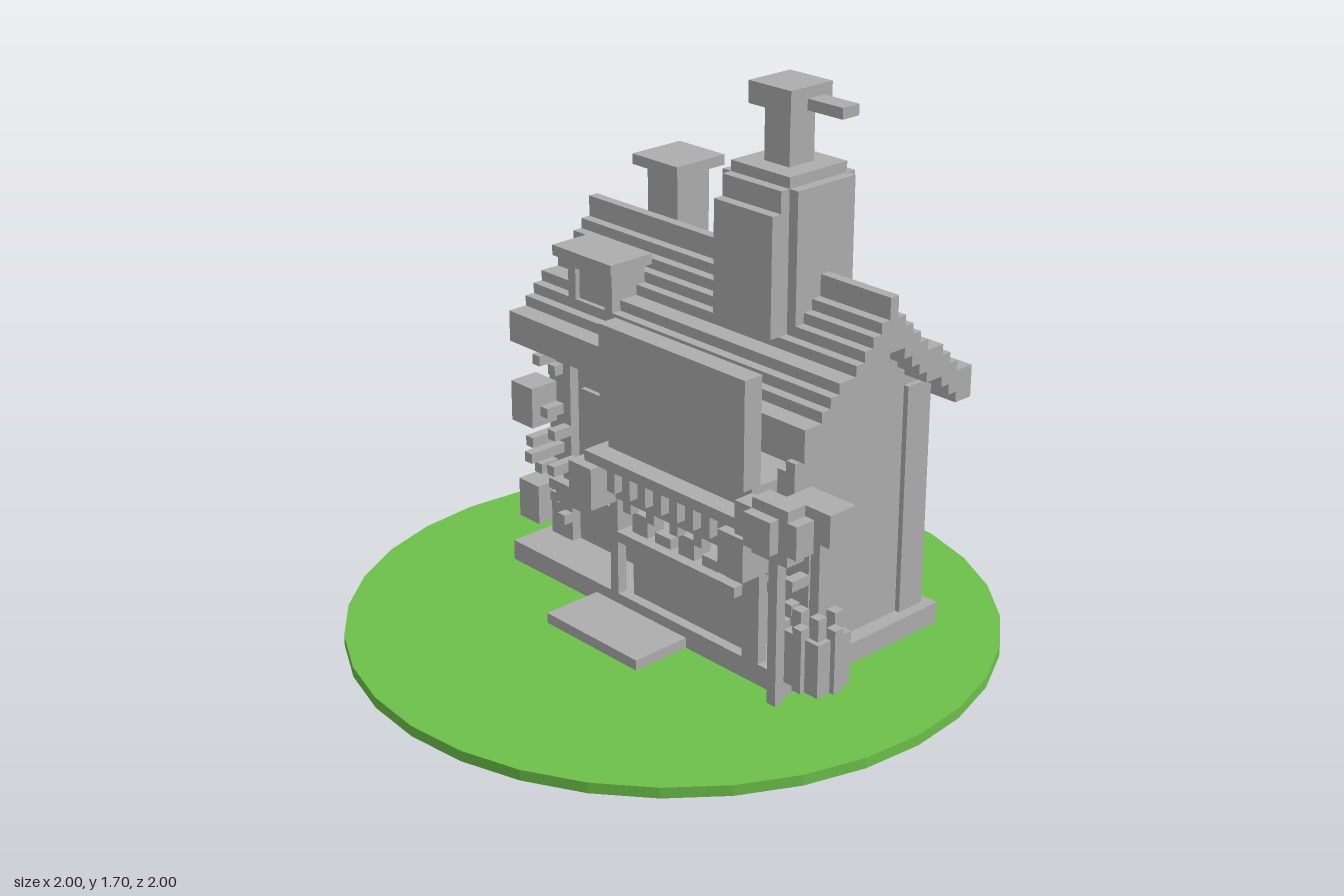
import * as THREE from 'three';

const U = 1 / 30; // one block

export function createModel() {
  const root = new THREE.Group();
  root.name = 'blockShop';
  const grey = new THREE.MeshStandardMaterial({ color: 0xadadad });
  grey.name = 'stone grey';
  const green = new THREE.MeshStandardMaterial({ color: 0x6cc04a });
  green.name = 'grass green';

  // box from block coordinates
  const box = (name, x0, x1, y0, y1, z0, z1, parent = root) => {
    const m = new THREE.Mesh(new THREE.BoxGeometry((x1 - x0) * U, (y1 - y0) * U, (z1 - z0) * U), grey);
    m.position.set((x0 + x1) / 2 * U, (y0 + y1) / 2 * U, (z0 + z1) / 2 * U);
    m.name = name;
    parent.add(m);
    return m;
  };
  const group = (name) => {
    const g = new THREE.Group();
    g.name = name;
    root.add(g);
    return g;
  };

  // lawn
  const lawn = new THREE.Mesh(new THREE.CylinderGeometry(1, 1, U, 32).toNonIndexed(), green);
  lawn.geometry.computeVertexNormals();
  lawn.position.y = U / 2;
  lawn.name = 'lawn';
  root.add(lawn);

  // base and walls
  box('foundation', -18, 18, 1, 3, -16, 4);
  box('doorStep', -6, 6, 1, 2, 4, 10);
  box('walls', -16.5, 16.5, 3, 25, -14.5, -1);
  for (const s of [-1, 1]) {
    const [a, b] = s < 0 ? [-17, -14] : [14, 17];
    box('frontCornerPost', a, b, 3, 25, -2, 0);
    box('backCornerPost', a, b, 3, 25, -15, -12);
  }

  // stepped gable roof: [distance from ridge where the step starts, ends, top]
  const steps = [[0.5, 1.5, 33], [1.5, 2.5, 32], [2.5, 3.5, 31], [3.5, 4.5, 30],
    [4.5, 6.5, 29], [6.5, 7.5, 28], [7.5, 8.5, 27], [8.5, 10.5, 26]];
  const roof = group('roof');
  const gables = group('gables');
  box('ridge', -19, 19, 30, 35, -8, -7, roof);
  box('gablePeak', -16.5, 16.5, 25, 30, -8, -7, gables);
  for (const [d0, d1, top] of steps) {
    for (const s of [-1, 1]) {
      const z0 = -7.5 + Math.min(s * d0, s * d1), z1 = -7.5 + Math.max(s * d0, s * d1);
      box('roofStep', -19, 19, top - 3, top, z0, z1, roof);
      if (d1 < 7 && top - 3 > 25) box('gableStep', -16.5, 16.5, 25, top - 3, z0, z1, gables);
    }
  }

  // back and side windows
  box('backWindow', 1.8, 10.6, 10.5, 20, -15, -14.4);
  box('backWindow', -8.6, 0.2, 10.5, 20, -15, -14.4);
  box('sideWindow', -17, -16.4, 11.5, 21.5, -11, -3.6);

  // back chimney
  box('chimney', -13, -9, 28, 39, -13, -9);
  box('chimneyCap', -14, -8, 39, 40, -14, -8);

  // dormer
  const dormer = group('dormer');
  box('dormerBody', -14, -8, 27, 32, -4, -0.5, dormer);
  box('dormerSide', -14, -13, 27, 32, -0.5, 0, dormer);
  box('dormerSide', -9, -8, 27, 32, -0.5, 0, dormer);
  box('dormerLintel', -13, -9, 31, 32, -0.5, 0, dormer);
  box('dormerRoof', -15, -7, 32, 33, -4, 1, dormer);

  // tower with notched corners and a spout on top
  const tower = group('tower');
  box('towerWide', 2, 11, 29, 43, -11, -4, tower);
  box('towerDeep', 3, 10, 29, 43, -12, -3, tower);
  box('towerTop', 3, 10, 43, 44, -11, -4, tower);
  box('towerPanel', 3, 10, 30, 41, -3, -2, tower);
  box('towerNeck', 5, 8, 44, 49, -9, -6, tower);
  box('towerHead', 4, 9, 49, 51, -10, -5, tower);
  box('towerSpout', 9, 13, 49, 50, -9, -7, tower);

  // sign board and canopy
  box('signBoard', -3, 15, 20, 30, 4, 6);
  box('canopy', -3, 15, 18, 20, -1, 5);
  box('canopyBeam', -4, 16, 17, 18, 4, 7);
  for (let x = -1; x < 14; x++) {
    const k = ((x + 30) % 3) === 0;
    box('valanceTooth', x, x + 1, k ? 13 : 14, k ? 15.5 : 17, 5, 6);
    if (x % 2) box('valanceFringe', x, x + 1, 15, 17, 6, 7);
  }
  for (const [px, lx] of [[-4, -5], [13, 14]]) {
    box('canopyPost', px, px + (px < 0 ? 1 : 2), 3, 18, 3, 4);
    box('lantern', lx, lx + 3, 13, 17, 5, 8);
  }

  // shop counter with goods
  box('counterFront', -2, 13, 3, 9, -1, 3);
  box('counterTop', -2, 13, 9, 10, -1, 5);
  for (let i = 0; i < 5; i++) box('goods', -1 + i * 3, 1 + i * 3, 10, i % 2 ? 11 : 12, 2, 4);

  // shop window with planter
  box('windowFrame', -13, -6, 10, 19, -1, -0.5);
  box('planter', -14, -5, 8, 10, -1, 2);
  for (const [x, h] of [[-14, 2], [-12, 1], [-11, 2], [-9, 1], [-8, 2], [-6, 2]]) {
    box('planterFlower', x, x + 1, 10, 10 + h, 0, 1);
  }
  box('doorJamb', -5, -4, 3, 23, -1, 0);

  // side lantern and crate
  box('wallLantern', -19, -16, 15, 19, 0, 3);
  box('crate', -73 / 3 * 0.9, -19, 3, 7, -3, 0);

  // climbing leaves on both front corners
  const leaves = [[16, 21, 2], [15, 20, 1], [16, 18, 1], [14, 22, 1], [15, 16, 2], [14, 14, 2], [16, 13, 3],
    [15, 12, 4], [13, 11, 3], [16, 10, 2], [14, 9, 2], [15, 7, 1], [14, 5, 1]];
  for (const [x, y, d] of leaves) {
    box('leaf', x, x + 1, y, y + 1, 0, d);
    box('leaf', -x - 1, -x, y, y + 1, 0, d);
  }
  box('leafClump', 15, 17, 18, 21, 0, 2);

  // bundle of upright slats beside the shop
  const bundle = group('slatBundle');
  for (let i = 0; i < 5; i++) {
    for (let j = 0; j < 5; j++) {
      const edge = (i === 0 || i === 4) && (j === 0 || j === 4);
      if (edge || (i + j) % 2) continue;
      box('slat', 18 + i, 19 + i, 3, j % 2 ? 10 : 9, j, j + 1, bundle);
    }
  }
  box('slatBinding', 18.5, 22.5, 3, 8, 0.5, 4.5, bundle);

  // tall flower lamps
  const lamp = group('flowerLamp');
  box('lampPole', 20, 21, 3, 18, 7, 8, lamp);
  box('lampWide', 17, 24, 18, 21, 7, 9, lamp);
  box('lampTall', 19, 23, 17, 22, 7, 9, lamp);
  box('lampDeep', 19, 22, 18, 21, 6, 10, lamp);
  const bloom = group('sideBloom');
  box('bloomWide', 18, 23, 17, 20, 1, 4, bloom);
  box('bloomDeep', 20, 21, 18, 19, 0, 5, bloom);
  box('bloomStem', 20, 21, 3, 17, 2, 3, bloom);
  return root;
}
